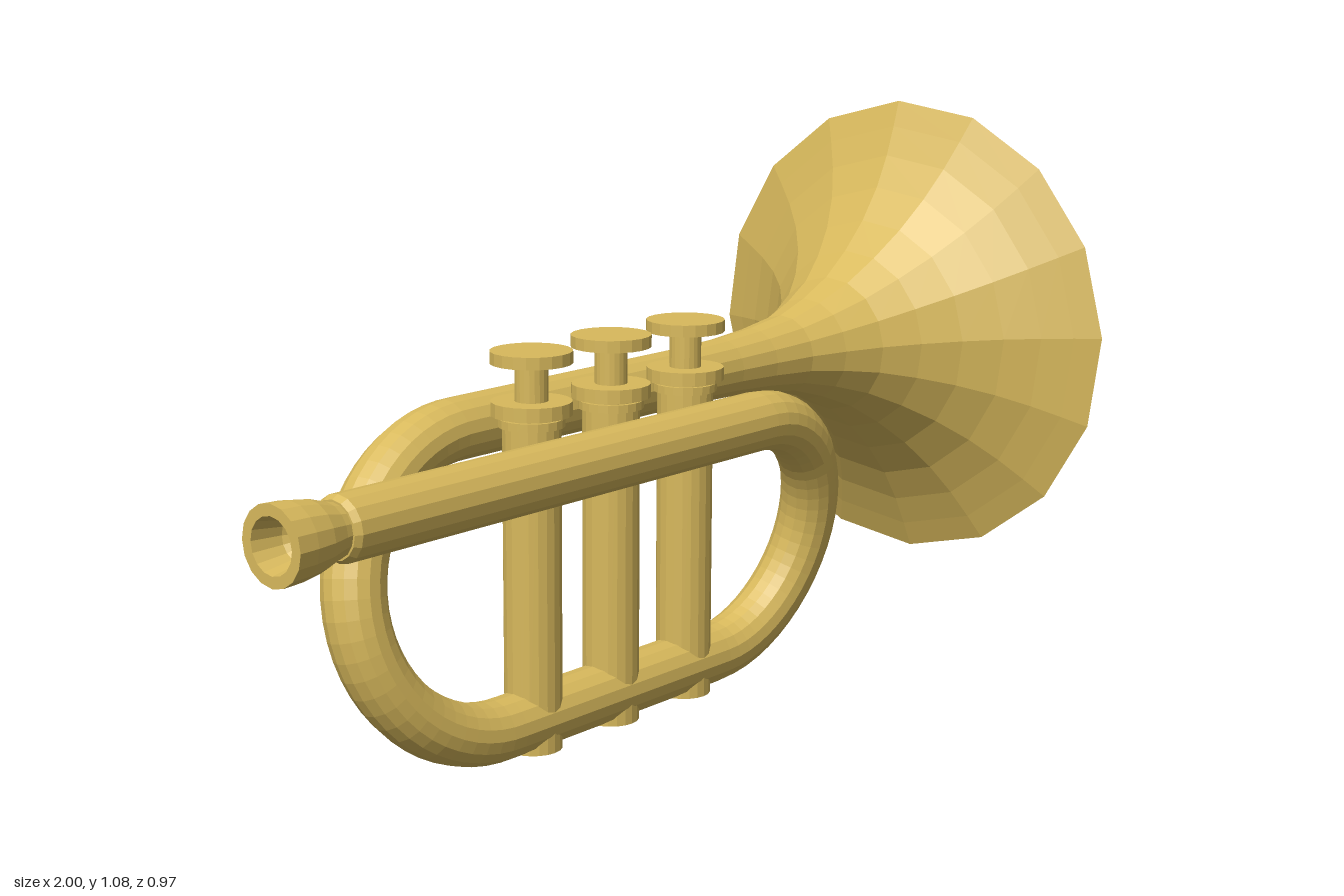
import * as THREE from 'three';

const R = 0.057; // tubing radius
const brass = new THREE.MeshStandardMaterial({ color: 0xd8b95c, flatShading: true });

function add(parent, name, geometry) {
  const mesh = new THREE.Mesh(geometry, brass);
  mesh.name = name;
  parent.add(mesh);
  return mesh;
}

// Profile of [radius, x] pairs turned around the x axis
function turned(profile, sides, start = 0) {
  const pts = profile.map(([r, x]) => new THREE.Vector2(r, x));
  return new THREE.LatheGeometry(pts, sides, start).rotateZ(-Math.PI / 2);
}

// Half-ellipse return bend that drifts sideways between two z planes
class Bend extends THREE.Curve {
  constructor(x, rx, from, to) {
    super();
    Object.assign(this, { x, rx, from, to });
  }
  getPoint(t, target = new THREE.Vector3()) {
    const a = t * Math.PI, k = (1 - Math.cos(a)) / 2;
    return target.set(
      this.x + this.rx * Math.sin(a),
      THREE.MathUtils.lerp(this.from[0], this.to[0], k),
      THREE.MathUtils.lerp(this.from[1], this.to[1], k)
    );
  }
}

export function createModel() {
  const model = new THREE.Group();
  model.name = 'trumpet';

  // Tubing: lead pipe, front bend, bottom run, rear bend, bell pipe ([y, z] per run)
  const lead = [0.54, 0.21], bottom = [0.06, 0.105], top = [0.593, 0];
  const run = (x0, x1, [y, z]) =>
    new THREE.LineCurve3(new THREE.Vector3(x0, y, z), new THREE.Vector3(x1, y, z));
  const path = new THREE.CurvePath();
  path.add(run(-0.86, 0.2, lead));
  path.add(new Bend(0.2, 0.24, lead, bottom));
  path.add(run(0.2, -0.39, bottom));
  path.add(new Bend(-0.39, -0.293, bottom, top));
  path.add(run(-0.39, 0.26, top));
  add(model, 'tubing', new THREE.TubeGeometry(path, 130, R, 16, false));

  // Bevelled end of the lead pipe
  add(model, 'leadPipeEnd', turned([[0, -0.872], [0.05, -0.872], [R, -0.86]], 16))
    .position.set(0, lead[0], lead[1]);

  // Mouthpiece with hollow cup
  add(model, 'mouthpiece', turned([
    [0, -0.9], [0.015, -0.91], [0.038, -0.945], [0.048, -1], [0.068, -1],
    [0.066, -0.96], [0.06, -0.92], [0.049, -0.885], [0.045, -0.865],
  ], 16)).position.set(0, lead[0], lead[1]);

  // Flared bell: outer wall, rim, inner wall and closed throat
  const flare = [[R, 0.24], [0.06, 0.36], [0.067, 0.46], [0.08, 0.56], [0.105, 0.64],
    [0.14, 0.72], [0.188, 0.79], [0.245, 0.855], [0.31, 0.91], [0.375, 0.95], [0.435, 0.978], [0.488, 1]];
  const inner = flare.slice(0, -1).reverse().map(([r, x]) => [r - 0.02, x + 0.006]);
  add(model, 'bell', turned([...flare, [0.47, 1], ...inner, [0.033, 0.24], [0, 0.24]], 16, -0.062))
    .position.set(0, top[0], top[1]);

  // Three piston valves: [name, radius, bottom, top]
  const pieces = [
    ['casing', 0.053, 0.004, 0.622],
    ['collar', 0.073, 0.62, 0.645],
    ['stem', 0.03, 0.64, 0.715],
    ['button', 0.074, 0.713, 0.735],
  ];
  [-0.303, -0.091, 0.121].forEach((x, i) => {
    const valve = new THREE.Group();
    valve.name = `valve${i + 1}`;
    valve.position.set(x, 0, 0.105);
    for (const [name, r, y0, y1] of pieces) {
      add(valve, name, new THREE.CylinderGeometry(r, r, y1 - y0, 20)).position.y = (y0 + y1) / 2;
    }
    // Lower lip of the casing top
    add(valve, 'casingRing', new THREE.CylinderGeometry(0.06, 0.06, 0.015, 20)).position.y = 0.607;
    model.add(valve);
  });

  return model;
}
